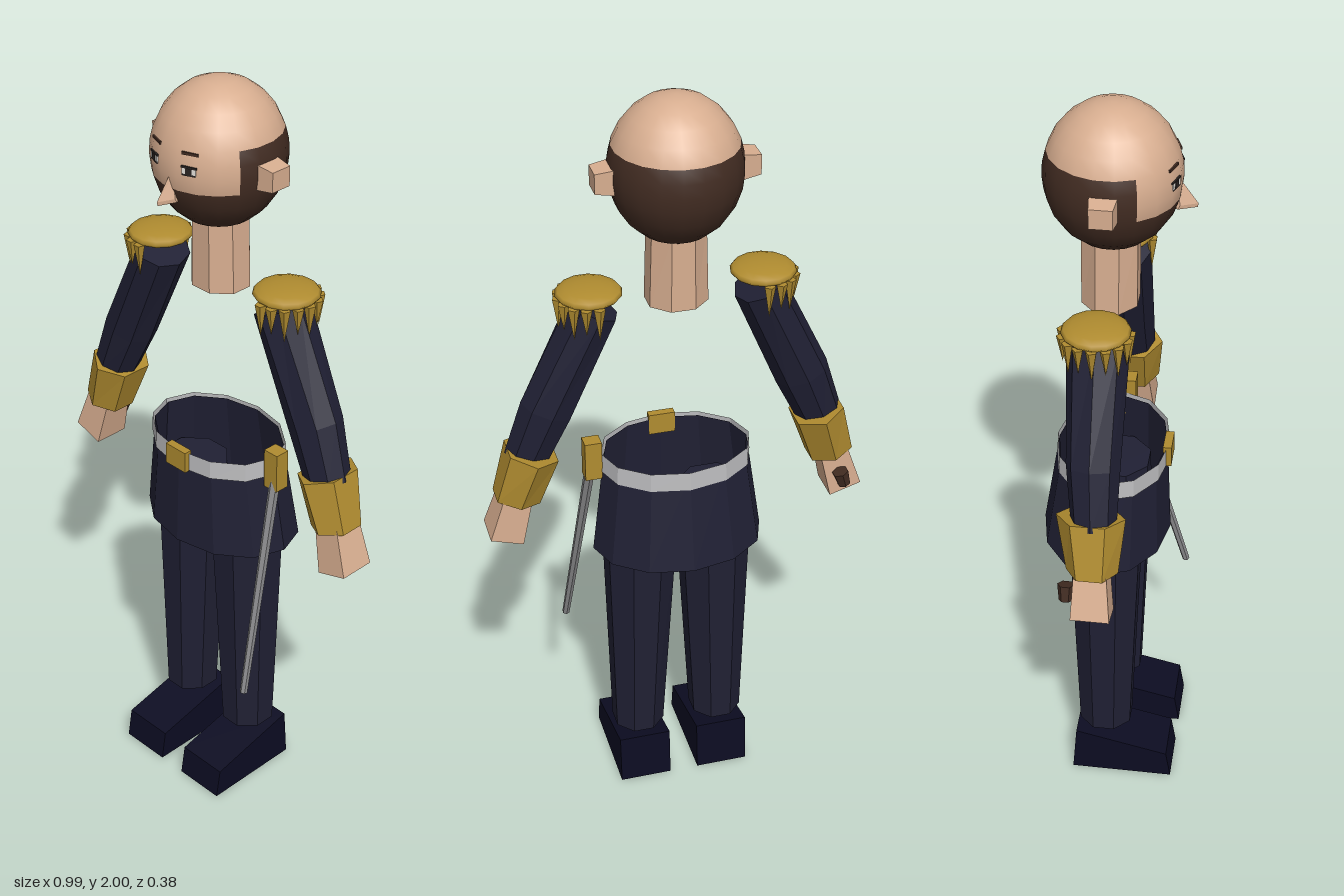
import * as THREE from 'three';

const mat = (name, color, side = THREE.FrontSide) =>
  Object.assign(new THREE.MeshStandardMaterial({ color, side }), { name });

export function createModel() {
  const model = new THREE.Group();
  model.name = 'officerFigure';
  const skin = mat('skin', 0xd8ae90);
  const hair = mat('hair', 0x422c22);
  const navy = mat('navyCloth', 0x202034, THREE.DoubleSide);
  const shoe = mat('shoeLeather', 0x0c0c22);
  const gold = mat('gold', 0xb08c30);
  const silver = mat('beltSilver', 0xbcbcbe, THREE.DoubleSide);
  const steel = mat('steel', 0x88888a);
  const ink = mat('eyeDark', 0x2a2422);
  const white = mat('eyeWhite', 0xe8e4de);

  const add = (name, geo, material, x = 0, y = 0, z = 0, parent = model) => {
    const m = new THREE.Mesh(geo, material);
    m.name = name;
    m.position.set(x, y, z);
    parent.add(m);
    return m;
  };
  const facet = (geo) => {
    const g = geo.index ? geo.toNonIndexed() : geo;
    g.computeVertexNormals();
    return g;
  };
  // Faceted skin over rings [x, y, z, radiusX, radiusZ, tilt], listed bottom to top
  const loft = (rings, sides, capped = true, phase = 0) => {
    const pos = [], idx = [];
    for (const [x, y, z, rx, rz, tilt = 0] of rings)
      for (let j = 0; j < sides; j++) {
        const a = phase + (j / sides) * Math.PI * 2, lx = rx * Math.sin(a);
        pos.push(x + lx * Math.cos(tilt), y + lx * Math.sin(tilt), z + rz * Math.cos(a));
      }
    const top = (rings.length - 1) * sides;
    for (let i = 0; i < top; i += sides)
      for (let j = 0; j < sides; j++) {
        const k = (j + 1) % sides;
        idx.push(i + j, i + k, i + sides + k, i + j, i + sides + k, i + sides + j);
      }
    if (capped)
      for (let j = 1; j < sides - 1; j++) idx.push(0, j + 1, j, top, top + j, top + j + 1);
    const g = new THREE.BufferGeometry();
    g.setAttribute('position', new THREE.Float32BufferAttribute(pos, 3));
    g.setIndex(idx);
    return facet(g);
  };

  // Head: bald crown, face opening, hair band and full beard
  const head = new THREE.Group();
  head.name = 'head';
  head.position.set(0, 1.815, -0.005);
  model.add(head);
  const rad = THREE.MathUtils.degToRad;
  const shell = (name, material, segs, rows, start, arc, t0, t1) =>
    add(name, new THREE.SphereGeometry(1, segs, rows, rad(start), rad(arc), t0, t1 - t0)
      .scale(0.165, 0.185, 0.167), material, 0, 0, 0, head);
  shell('crown', skin, 20, 5, 27, 360, 0, 1.212);
  shell('face', skin, 7, 3, 27, 126, 1.212, 1.8);
  shell('hairBand', hair, 13, 3, 153, 234, 1.212, 1.8);
  shell('beard', hair, 20, 5, 27, 360, 1.8, Math.PI);

  // Nose: wedge that widens and juts out at its base
  add('nose', loft([[0, 1.738, 0.15, 0.018, 0.045], [0, 1.748, 0.155, 0.017, 0.042],
    [0, 1.8, 0.148, 0.004, 0.012]], 4), skin);

  for (const s of [1, -1]) {
    const side = s > 0 ? 'left' : 'right';

    // Ear
    const ear = add(side + 'Ear', loft([[0, -0.025, 0, 0.046, 0.048], [0, 0.025, 0, 0.036, 0.04]], 4, true, Math.PI / 4),
      skin, s * 0.178, 1.808, -0.006);
    ear.rotation.z = -s * Math.PI / 2;

    // Eye and brow plates on the face
    const eye = new THREE.Group();
    eye.name = side + 'Eye';
    eye.position.set(s * 0.057, 1.83, 0.147);
    eye.rotation.y = s * 0.36;
    model.add(eye);
    add('eyeWhite', new THREE.BoxGeometry(0.036, 0.016, 0.008), white, 0, 0, 0, eye);
    add('iris', new THREE.BoxGeometry(0.016, 0.016, 0.009), ink, 0, 0, 0.001, eye);
    add('upperLid', new THREE.BoxGeometry(0.04, 0.005, 0.009), ink, 0, 0.01, 0, eye);
    add('lowerLid', new THREE.BoxGeometry(0.034, 0.004, 0.009), ink, 0, -0.009, 0, eye);
    add('brow', new THREE.BoxGeometry(0.042, 0.007, 0.009), hair, 0, 0.041, -0.007, eye);

    // Sleeve, cuff and hand
    const arm = new THREE.Group();
    arm.name = side + 'Arm';
    model.add(arm);
    const limb = (rows) => rows.map(([x, y, z, rx, rz, t]) => [s * x, y, z, rx, rz, s * t]);
    add('sleeve', loft(limb([[0.385, 1.07, 0, 0.06, 0.056, 0.25], [0.331, 1.205, -0.008, 0.071, 0.066, 0.36],
      [0.208, 1.475, -0.012, 0.064, 0.076, 0.41]]), 8), navy, 0, 0, 0, arm);
    add('cuff', loft(limb([[0.418, 0.947, 0, 0.064, 0.064, 0.2], [0.376, 1.083, -0.008, 0.072, 0.085, 0.25]]), 6),
      gold, 0, 0, 0, arm);
    add('hand', loft(limb([[0.455, 0.838, 0.004, 0.062, 0.068, 0.3], [0.42, 0.96, 0, 0.052, 0.056, 0.3]]),
      4, true, Math.PI / 4), skin, 0, 0, 0, arm);

    // Epaulette pad with hanging fringe round its outer half
    const epaulette = new THREE.Group();
    epaulette.name = side + 'Epaulette';
    epaulette.position.set(s * 0.22, 1.517, -0.015);
    model.add(epaulette);
    add('pad', new THREE.SphereGeometry(1, 14, 8).scale(0.083, 0.021, 0.084), gold, 0, 0, 0, epaulette);
    for (let i = 0; i < 9; i++) {
      const a = rad(-96 + i * 24), len = i % 2 ? 0.07 : 0.085;
      const tassel = add('tassel', facet(new THREE.ConeGeometry(0.015, len, 5)), gold,
        s * 0.076 * Math.cos(a), -len / 2 - 0.006, 0.08 * Math.sin(a), epaulette);
      tassel.rotation.x = Math.PI;
    }

    // Trouser leg
    add(side + 'Leg', loft([[s * 0.11, 0.155, -0.01, 0.071, 0.074], [s * 0.1, 0.76, -0.01, 0.098, 0.097],
      [s * 0.1, 0.9, -0.01, 0.094, 0.094]], 8, true, Math.PI / 8), navy);

    // Shoe: side profile extruded across its width
    const profile = new THREE.Shape([[-0.178, 0], [0.095, 0], [0.085, 0.138], [-0.165, 0.08]]
      .map(([u, v]) => new THREE.Vector2(u, v)));
    const shoeGeo = new THREE.ExtrudeGeometry(profile, { depth: 0.14, bevelEnabled: false })
      .translate(0, 0, -0.07).rotateY(Math.PI / 2);
    add(side + 'Shoe', shoeGeo, shoe, s * 0.109, 0, 0);
  }

  // Neck
  add('neck', loft([[0, 1.466, -0.01, 0.08, 0.074], [0, 1.67, -0.01, 0.074, 0.074]], 8, true, Math.PI / 8), skin);

  // Coat skirt, open at both ends, with belt and buckle
  add('coatSkirt', loft([[0, 0.76, -0.02, 0.226, 0.167], [0, 1.03, -0.004, 0.19, 0.14]], 12, false), navy);
  add('belt', loft([[0, 0.988, -0.004, 0.199, 0.147], [0, 1.038, -0.003, 0.196, 0.145]], 12, false), silver);
  add('buckle', new THREE.BoxGeometry(0.07, 0.058, 0.022), gold, 0, 1.015, 0.138);

  // Sword hanging at the left hip
  add('swordHilt', new THREE.BoxGeometry(0.044, 0.108, 0.04), gold, 0.217, 1.022, 0.008);
  const tip = new THREE.Vector3(0.267, 0.417, 0.166), guard = new THREE.Vector3(0.221, 0.99, 0.015);
  const blade = add('swordBlade', facet(new THREE.CylinderGeometry(0.014, 0.01, tip.distanceTo(guard), 6)), steel);
  blade.position.copy(tip).lerp(guard, 0.5);
  blade.quaternion.setFromUnitVectors(new THREE.Vector3(0, 1, 0), guard.sub(tip).normalize());

  // Small pipe held behind the right hand
  const pipe = add('pipeBowl', facet(new THREE.CylinderGeometry(0.022, 0.017, 0.042, 6)), hair, -0.438, 0.888, -0.062);
  pipe.rotation.z = -0.3;

  return model;
}
